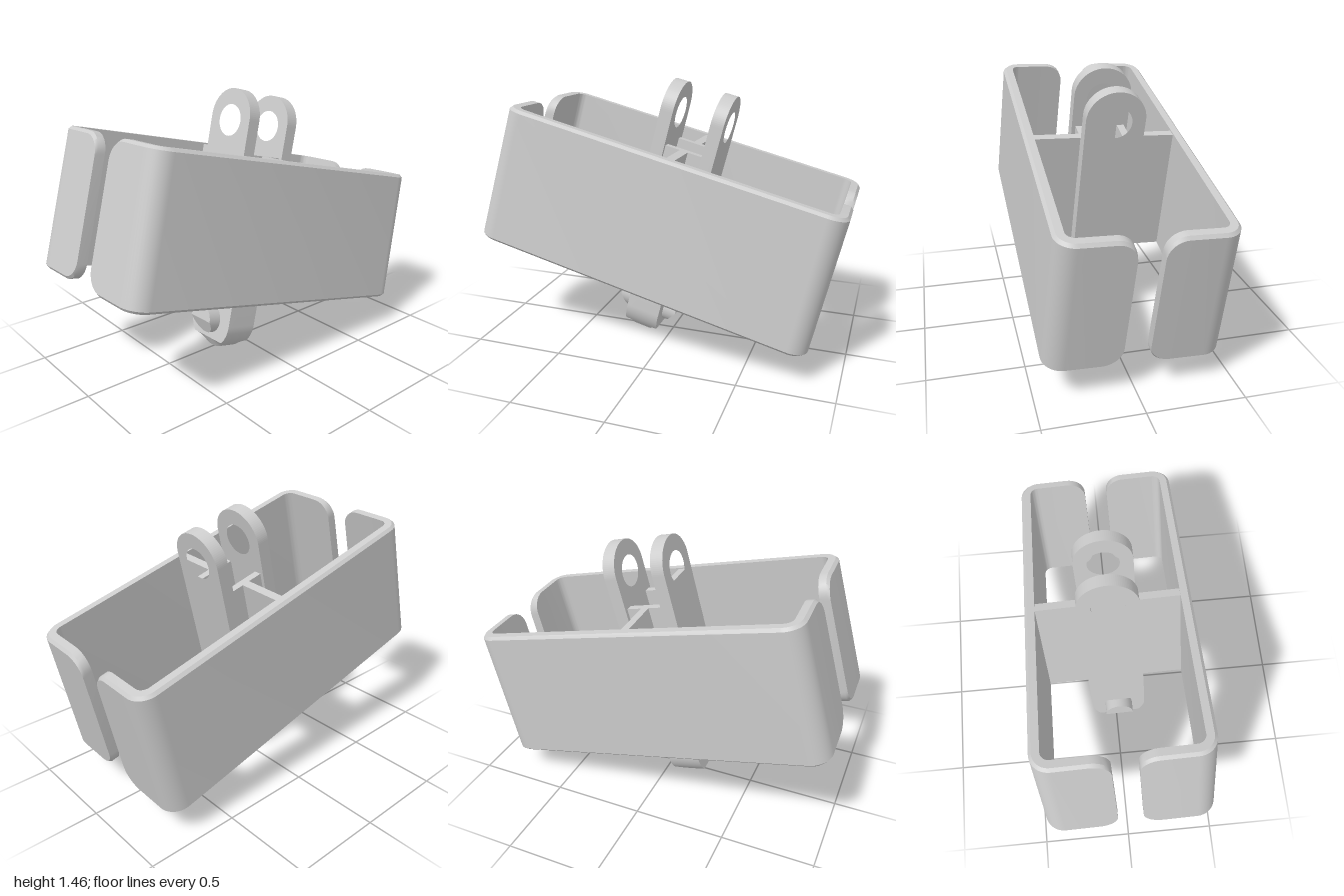
import * as THREE from 'three';
import { toCreasedNormals } from 'three/addons/utils/BufferGeometryUtils.js';

const material = new THREE.MeshStandardMaterial({ color: 0xcccccc });
const H = 0.372; // half height of the sleeve

function add(parent, name, geometry, x = 0, y = 0, z = 0) {
  const mesh = new THREE.Mesh(geometry, material);
  mesh.name = name;
  mesh.position.set(x, y, z);
  parent.add(mesh);
  return mesh;
}

function box(parent, name, w, h, d, x, y, z) {
  return add(parent, name, new THREE.BoxGeometry(w, h, d), x, y, z);
}

// C-shaped half of the sleeve: a wall swept round two corners, with rounded flange tips
function sleeveHalfGeometry() {
  const A = 0.929, B = 0.442, r = 0.1, T = 0.055, c = 0.015, tip = 0.066;
  const half = []; // outer x, z, outward normal, half height
  for (let i = 0; i <= 10; i++) {
    const a = (i / 10) * Math.PI / 2;
    half.push([A, tip + r * (1 - Math.cos(a)), 1, 0, H - r * (1 - Math.sin(a))]);
  }
  for (let i = 0; i <= 10; i++) {
    const a = (i / 10) * Math.PI / 2, n = Math.cos(a), m = Math.sin(a);
    half.push([A - r + r * n, B - r + r * m, n, m, H]);
  }
  const path = [
    ...half.map(([x, z, n, m, h]) => [-x, z, -n, m, h]),
    ...half.slice().reverse(),
  ];
  const pos = [], index = [];
  for (const [x, z, n, m, h] of path) {
    const section = [[0, h - c], [c, h], [T, h], [T, -h], [c, -h], [0, c - h]];
    for (const [t, y] of section) {
      // walls flare slightly toward the bottom
      pos.push((x - n * t) * (1 - 0.033 * y), y, (z - m * t) * (1 - 0.06 * y));
    }
  }
  const K = 6, last = (path.length - 1) * K;
  for (let i = 0; i < path.length - 1; i++) {
    for (let j = 0; j < K; j++) {
      const a = i * K + j, b = i * K + (j + 1) % K;
      index.push(a, a + K, b, a + K, b + K, b);
    }
  }
  for (let j = 1; j < K - 1; j++) {
    index.push(0, j, j + 1, last, last + j + 1, last + j);
  }
  const g = new THREE.BufferGeometry();
  g.setAttribute('position', new THREE.Float32BufferAttribute(pos, 3));
  g.setIndex(index);
  return toCreasedNormals(g, 0.6);
}

// Plate with one semicircular end, extruded along x
function roundEndPlate(radius, centreY, flatY, thickness, holeRadius, holeY, steps = 1) {
  const up = centreY > flatY;
  const s = new THREE.Shape();
  s.moveTo(-radius, flatY);
  s.lineTo(-radius, centreY);
  s.absarc(0, centreY, radius, Math.PI, up ? 0 : Math.PI * 2, up);
  s.lineTo(radius, flatY);
  if (holeRadius) {
    const hole = new THREE.Path();
    hole.absarc(0, holeY, holeRadius, 0, Math.PI * 2, true);
    s.holes.push(hole);
  }
  const g = new THREE.ExtrudeGeometry(s, {
    depth: thickness, bevelEnabled: false, curveSegments: 24, steps,
  });
  g.translate(0, 0, -thickness / 2);
  g.rotateY(Math.PI / 2);
  return g;
}

// Tongue with its lower end bevelled on both faces
function tongueGeometry() {
  const g = roundEndPlate(0.16, -0.588, -0.3, 0.19, 0, 0, 4);
  const p = g.attributes.position;
  for (let i = 0; i < p.count; i++) {
    if (Math.abs(p.getX(i)) > 0.09) p.setY(i, Math.max(p.getY(i), -0.695));
  }
  g.deleteAttribute('normal');
  return toCreasedNormals(g, 0.5);
}

// Snap pin along x, with the lower half of each end cut on a slant
function pinGeometry() {
  const g = new THREE.CylinderGeometry(0.082, 0.082, 0.34, 32);
  g.rotateZ(Math.PI / 2);
  const p = g.attributes.position;
  for (let i = 0; i < p.count; i++) {
    const cut = Math.max(0, -p.getY(i)) * 0.65;
    p.setX(i, Math.sign(p.getX(i)) * (0.17 - cut));
  }
  g.deleteAttribute('normal');
  return toCreasedNormals(g, 0.5);
}

export function createModel() {
  const model = new THREE.Group();
  model.name = 'linkedSleeve';

  // Everything leans together
  const link = new THREE.Group();
  link.name = 'link';
  link.position.set(0.005, 0.74, -0.008);
  link.rotation.set(-0.038, 0, -0.244, 'ZXY');
  model.add(link);

  // Split sleeve
  const halfGeometry = sleeveHalfGeometry();
  add(link, 'frontSleeveHalf', halfGeometry);
  add(link, 'backSleeveHalf', halfGeometry).rotation.y = Math.PI;

  // Webs joining the sleeve halves to the core, and the core's cross walls
  for (const side of [1, -1]) {
    const prefix = side > 0 ? 'front' : 'back';
    box(link, prefix + 'Web', 0.045, 0.737, 0.295, 0, -0.003, side * 0.2575);
    box(link, prefix + 'CoreWall', 0.22, 0.737, 0.04, 0, -0.003, side * 0.115);
  }
  box(link, 'coreFloor', 0.22, 0.08, 0.25, 0, -0.335, 0);

  // Upper lugs with pin holes
  const lugGeometry = roundEndPlate(0.155, 0.545, -0.382, 0.07, 0.085, 0.53);
  add(link, 'leftLug', lugGeometry, 0.14);
  add(link, 'rightLug', lugGeometry, -0.14);

  // Lower tongue and its snap pin
  add(link, 'tongue', tongueGeometry(), 0.01);
  add(link, 'pin', pinGeometry(), 0.01, -0.582, 0);

  return model;
}
